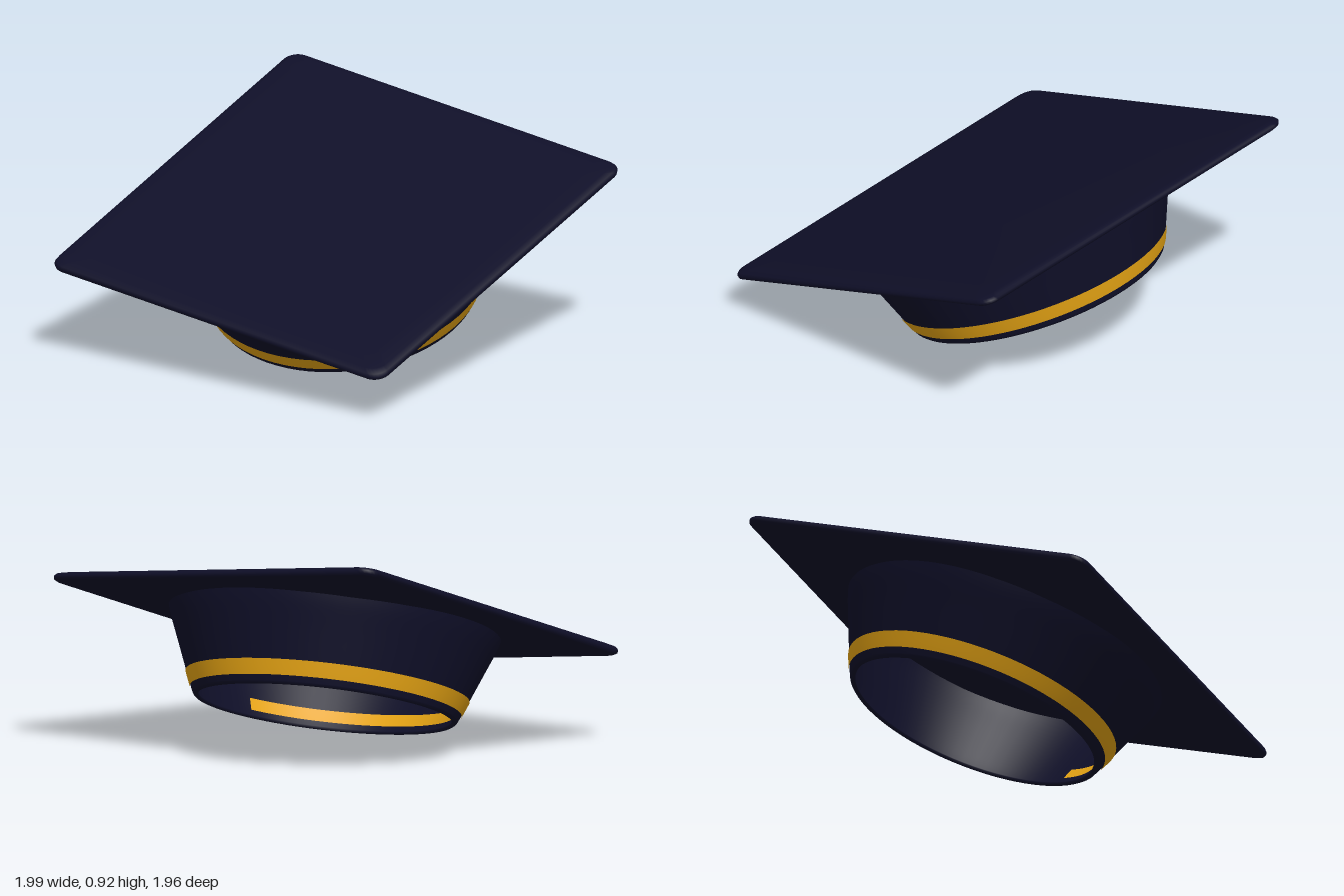
import * as THREE from 'three';

const navy = new THREE.MeshStandardMaterial({ color: 0x0f0f28 });
navy.name = 'navy cloth';
const gold = new THREE.MeshStandardMaterial({ color: 0xe6a414 });
gold.name = 'gold trim';

// Outline of a rounded square, corner by corner
function roundedSquare(half, radius, y) {
  const pts = [];
  for (let c = 0; c < 4; c++) {
    for (let i = 0; i <= 6; i++) {
      const a = (c + i / 6) * Math.PI / 2;
      const q = (c + 0.5) * Math.PI / 2;
      pts.push([
        Math.sign(Math.cos(q)) * (half - radius) + Math.cos(a) * radius,
        y,
        Math.sign(Math.sin(q)) * (half - radius) + Math.sin(a) * radius,
      ]);
    }
  }
  return pts;
}

// Loft rings listed from top to bottom
function loft(rings) {
  const n = rings[0].length;
  const index = [];
  for (let r = 0; r < rings.length - 1; r++) {
    for (let i = 0; i < n; i++) {
      const a = r * n + i, b = r * n + (i + 1) % n;
      index.push(a, b, a + n, b, b + n, a + n);
    }
  }
  const g = new THREE.BufferGeometry();
  g.setAttribute('position', new THREE.Float32BufferAttribute(rings.flat(2), 3));
  g.setIndex(index);
  g.computeVertexNormals();
  return g;
}

function addMesh(parent, name, geometry, material) {
  const m = new THREE.Mesh(geometry, material);
  m.name = name;
  parent.add(m);
}

function lathe(points, start = 0, length = Math.PI * 2) {
  return new THREE.LatheGeometry(points.map(p => new THREE.Vector2(...p)), 72, start, length);
}

// Flared wall: outer radius at a given height
const wall = new THREE.SplineCurve([
  [0.528, -0.4], [0.55, -0.35], [0.61, -0.2], [0.65, -0.1], [0.668, -0.045],
].map(p => new THREE.Vector2(...p))).getPoints(24);

function radiusAt(y) {
  let i = 0;
  while (i < wall.length - 2 && wall[i + 1].y < y) i++;
  const a = wall[i], b = wall[i + 1];
  return a.x + (b.x - a.x) * (y - a.y) / (b.y - a.y);
}

function band(y0, y1, offset) {
  return Array.from({ length: 6 }, (_, i) => {
    const y = y0 + (y1 - y0) * i / 5;
    return [radiusAt(y) + offset, y];
  });
}

export function createModel() {
  const group = new THREE.Group();
  const cap = new THREE.Group();
  cap.name = 'tiltedCap';
  group.add(cap);

  // Square board with soft edges and a shallow pyramid underneath
  addMesh(cap, 'board', loft([
    roundedSquare(0.001, 0.0005, 0),
    roundedSquare(0.7, 0.05, 0),
    roundedSquare(0.79, 0.06, -0.003),
    roundedSquare(0.813, 0.06, -0.01),
    roundedSquare(0.82, 0.06, -0.02),
    roundedSquare(0.818, 0.06, -0.032),
    roundedSquare(0.805, 0.055, -0.04),
    roundedSquare(0.6, 0.02, -0.055),
    roundedSquare(0.001, 0.0005, -0.07),
  ]), navy);

  // Hollow crown, open at the bottom
  const outer = wall.map(p => [p.x, p.y]);
  const inner = outer.map(([r, y]) => [r - 0.022, y]).reverse();
  addMesh(cap, 'crown', lathe([...inner, [0.51, -0.407], [0.52, -0.407], ...outer]), navy);

  // Gold band outside, and where it shows on the lining
  addMesh(cap, 'goldBand', lathe(band(-0.375, -0.315, 0.004)), gold);
  addMesh(cap, 'goldLiningBand', lathe(band(-0.375, -0.325, -0.026).reverse(), 4.35 - 1.65, 3.3), gold);

  // Tilt the whole cap
  const up = new THREE.Vector3(-0.275, 0.935, 0.222).normalize();
  const side = new THREE.Vector3(1.45, 0.53, -0.44);
  side.addScaledVector(up, -side.dot(up)).normalize();
  const front = new THREE.Vector3().crossVectors(side, up);
  cap.quaternion.setFromRotationMatrix(new THREE.Matrix4().makeBasis(side, up, front));
  cap.position.y = 0.57;
  return group;
}
